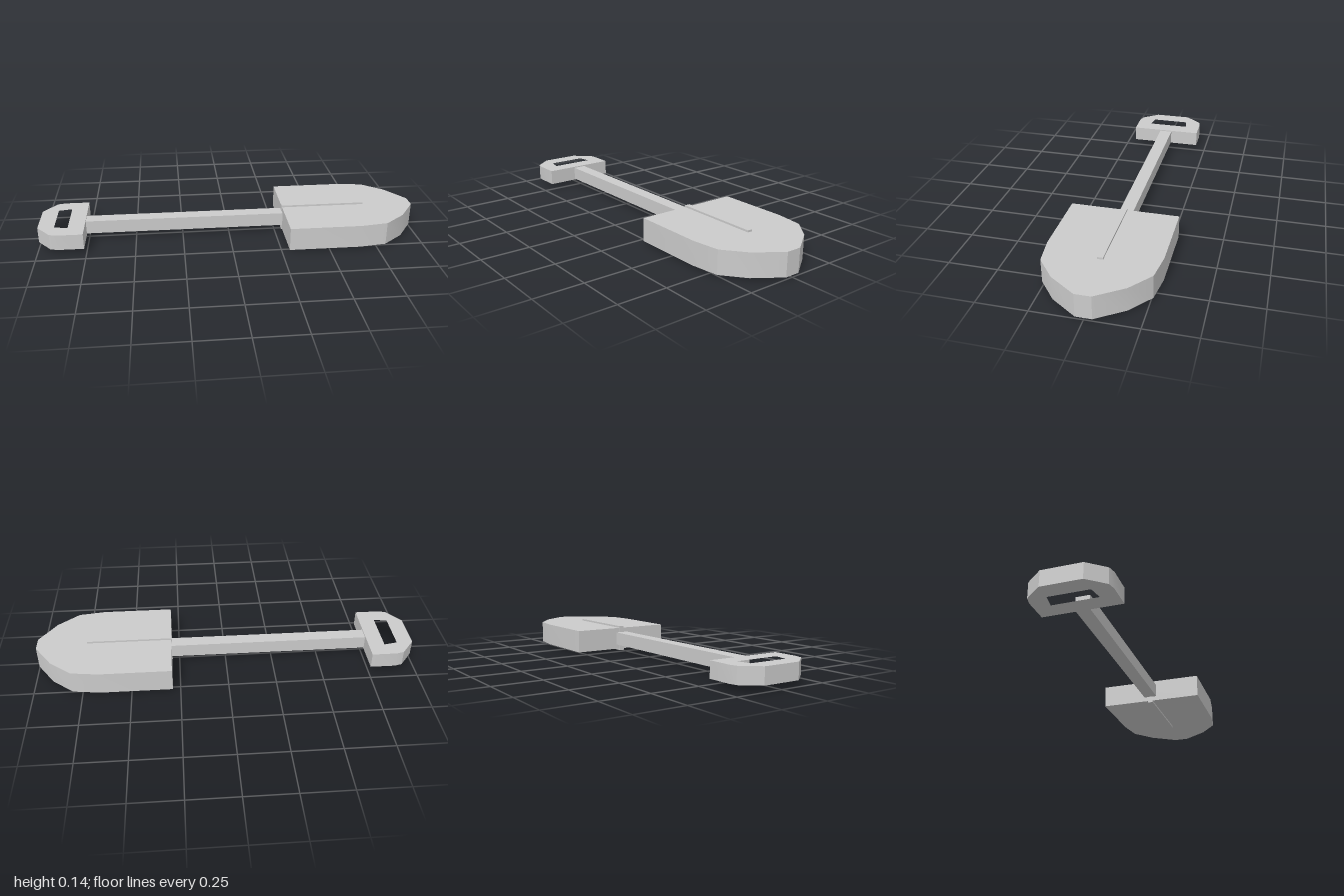
import * as THREE from 'three';
import { toCreasedNormals } from 'three/addons/utils/BufferGeometryUtils.js';

const material = new THREE.MeshStandardMaterial({ color: 0xcccccc });
const midY = 0.07;

// Closed outline mirrored across the long axis from its half [x, z] points
function mirrored(half) {
  const other = half.map(([x, z]) => [x, -z]).reverse();
  return [...half, ...other].map(([x, z]) => new THREE.Vector2(x, z));
}

// Flat plate lying in XZ, centred on midY
function plate(name, half, thickness, holeHalf) {
  const shape = new THREE.Shape(mirrored(half));
  if (holeHalf) shape.holes.push(new THREE.Path(mirrored(holeHalf)));
  const geometry = new THREE.ExtrudeGeometry(shape, { depth: thickness, bevelEnabled: false });
  geometry.rotateX(Math.PI / 2).translate(0, midY + thickness / 2, 0);
  const mesh = new THREE.Mesh(toCreasedNormals(geometry, THREE.MathUtils.degToRad(25)), material);
  mesh.name = name;
  return mesh;
}

// Bar running along x
function bar(name, x0, x1, height, width) {
  const mesh = new THREE.Mesh(new THREE.BoxGeometry(x1 - x0, height, width), material);
  mesh.position.set((x0 + x1) / 2, midY, 0);
  mesh.name = name;
  return mesh;
}

export function createModel() {
  const shovel = new THREE.Group();
  shovel.name = 'shovel';

  // Thick blade with a rounded, blunt tip
  const bladeHalf = [[0.29, 0.278], [0.66, 0.278], [0.8, 0.259], [0.91, 0.17], [1, 0.039]];
  shovel.add(plate('blade', bladeHalf, 0.12));

  // Rib standing proud of both blade faces
  shovel.add(bar('bladeRib', 0.288, 0.735, 0.14, 0.027));

  // Square shaft
  shovel.add(bar('shaft', -0.76, 0.29, 0.07, 0.07));

  // D-shaped grip with a hand opening
  const gripHalf = [[-1, 0.1], [-0.93, 0.187], [-0.89, 0.197], [-0.76, 0.197]];
  const openingHalf = [[-0.915, 0.102], [-0.845, 0.115]];
  shovel.add(plate('grip', gripHalf, 0.082, openingHalf));

  return shovel;
}
